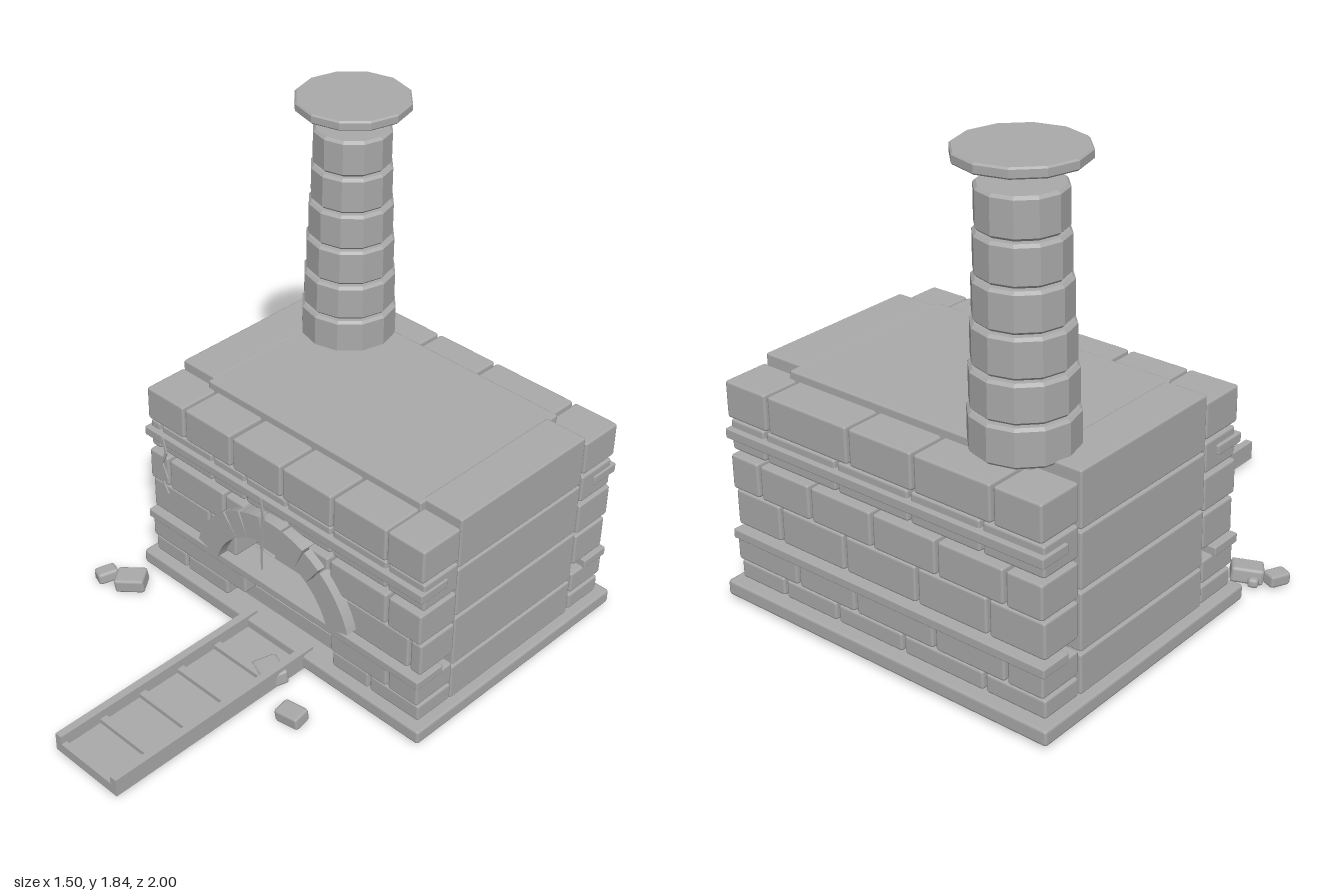
import * as THREE from 'three';
import { RoundedBoxGeometry } from 'three/addons/geometries/RoundedBoxGeometry.js';

export function createModel() {
  const model = new THREE.Group();
  model.name = 'brickOven';
  const stone = new THREE.MeshStandardMaterial({ color: 0xaaaaaa });
  stone.name = 'stone grey';

  const add = (name, geometry, parent = model) => {
    const mesh = new THREE.Mesh(geometry, stone);
    mesh.name = name;
    parent.add(mesh);
    return mesh;
  };
  const group = (name) => {
    const g = new THREE.Group();
    g.name = name;
    model.add(g);
    return g;
  };
  // Box given by its limits, with chamfered edges when bevel > 0
  const block = (name, [x0, x1], [y0, y1], [z0, z1], bevel = 0.01, parent = model) => {
    const s = [x1 - x0, y1 - y0, z1 - z0];
    const geo = bevel ? new RoundedBoxGeometry(...s, 1, bevel) : new THREE.BoxGeometry(...s);
    const mesh = add(name, geo, parent);
    mesh.position.set((x0 + x1) / 2, (y0 + y1) / 2, (z0 + z1) / 2);
    return mesh;
  };

  // Base slab, solid core and hearth floor
  block('baseSlab', [-0.685, 0.75], [0.02, 0.08], [-0.995, 0.1], 0.012);
  block('core', [-0.49, 0.555], [0.06, 0.883], [-0.82, -0.085], 0.008);
  block('hearth', [-0.225, 0.28], [0.07, 0.145], [-0.2, 0.0], 0);

  // Large side panels in four courses
  const sides = group('sidePanels');
  for (const [name, x] of [['rightPanel', [-0.65, -0.48]], ['leftPanel', [0.54, 0.715]]]) {
    for (const y of [[0.08, 0.23], [0.24, 0.455], [0.465, 0.672], [0.68, 0.885]]) {
      block(name, x, y, [-0.775, -0.11], 0.008, sides);
    }
  }

  // Brick courses, bottom to top: [y range, front bricks, back joints]
  const L = -0.65, R = 0.715;
  const courses = [
    [[0.085, 0.155], [[L, -0.48], [-0.47, -0.25], [0.3, 0.475], [0.485, R]], [L, -0.4, -0.05, 0.25, 0.5, R]],
    [[0.165, 0.255], [[L, -0.14], [0.3, 0.57], [0.58, R]], [L, -0.5, -0.2, 0.15, 0.42, R]],
    [[0.3, 0.435], [[L, -0.345], [-0.335, -0.2], [0.28, 0.655], [0.665, R]], [L, -0.42, -0.12, 0.2, 0.5, R]],
    [[0.445, 0.575], [[L, -0.55], [-0.54, -0.25], [-0.24, -0.14], [0.18, 0.28], [0.29, 0.555], [0.565, R]],
      [L, -0.5, -0.22, 0.06, 0.34, 0.58, R]],
    [[0.59, 0.705], [[L, -0.6], [-0.59, -0.32], [-0.31, -0.15], [-0.14, 0.06], [0.07, 0.28], [0.29, 0.54], [0.55, R]],
      [L, -0.4, -0.1, 0.22, 0.55, R]],
    [[0.715, 0.852], [[L, -0.455], [-0.445, -0.21], [-0.195, 0.045], [0.055, 0.29], [0.3, 0.545], [0.55, R]],
      [L, -0.455, -0.13, 0.15, 0.52, R]],
  ];
  const front = group('frontBricks'), back = group('backBricks');
  courses.forEach(([y, bricks, joints], i) => {
    const inset = i % 2 ? 0 : 0.012;
    for (const x of bricks) block('frontBrick', x, y, [-0.11, 0.075 - inset], 0.01, front);
    for (let j = 0; j < joints.length - 1; j++) {
      const x = [joints[j] + (j ? 0.006 : 0), joints[j + 1] - (j < joints.length - 2 ? 0.006 : 0)];
      block('backBrick', x, y, [-0.965 + inset, -0.785], 0.01, back);
    }
  });

  // Thin ledges running across front and back
  for (const y of [[0.25, 0.285], [0.638, 0.675]]) {
    block('frontLedge', [-0.662, 0.722], y, [-0.05, 0.084], 0.005);
    block('backLedge', [-0.662, 0.722], y, [-0.974, -0.85], 0.005);
  }

  // Arch of wedge stones around the opening
  const arch = group('arch');
  const angles = [17, 53, 66, 82, 98, 114, 127, 163];
  for (let i = 0; i < angles.length - 1; i++) {
    const a = THREE.MathUtils.degToRad(angles[i]);
    const b = THREE.MathUtils.degToRad(angles[i + 1]);
    const gap = 0.012;
    const s = new THREE.Shape();
    s.absarc(0, 0, 0.4, a + (i ? gap : 0), b - (i < 6 ? gap : 0), false);
    s.absarc(0, 0, 0.295, b, a, true);
    const geo = new THREE.ExtrudeGeometry(s, { depth: 0.09, bevelEnabled: false, curveSegments: i % 6 ? 2 : 5 });
    add('archStone', geo, arch).position.set(0.03, 0.21, 0.018);
  }

  // Thin crack slivers in front of the wall
  const crack = (points) => {
    const w = (i) => (i === 0 || i === points.length - 1 ? 0.002 : 0.006);
    const outline = [
      ...points.map(([x, y], i) => new THREE.Vector2(x - w(i), y)),
      ...points.map(([x, y], i) => new THREE.Vector2(x + w(i), y)).reverse(),
    ];
    const geo = new THREE.ExtrudeGeometry(new THREE.Shape(outline), { depth: 0.006, bevelEnabled: false });
    add('crack', geo).position.z = 0.172;
  };
  crack([[-0.455, 0.77], [-0.44, 0.71], [-0.465, 0.655], [-0.44, 0.6], [-0.465, 0.575], [-0.435, 0.53]]);
  crack([[0.052, 0.77], [0.062, 0.7], [0.055, 0.6], [0.055, 0.455]]);

  // Chimney of stacked twelve-sided rings with chamfered rims
  const chimney = group('chimney');
  chimney.position.set(-0.384, 0, -0.72);
  const ring = (name, r, y0, y1, c) => {
    const profile = [[0, y0], [r - c, y0], [r, y0 + c], [r, y1 - c], [r - c, y1], [0, y1]];
    const geo = new THREE.LatheGeometry(profile.map(([x, y]) => new THREE.Vector2(x, y)), 12).toNonIndexed();
    geo.computeVertexNormals();
    add(name, geo, chimney);
  };
  [0.182, 0.175, 0.167, 0.16, 0.153, 0.147].forEach((r, i) => {
    ring('chimneyRing', r, 0.87 + i * 0.1445, 1.008 + i * 0.1445, 0.01);
  });
  ring('capNeck', 0.14, 1.785, 1.81, 0.003);
  ring('chimneyCap', 0.215, 1.805, 1.842, 0.006);

  // Shallow ramp with side rails and rungs
  const ramp = group('ramp');
  block('rampFloor', [-0.13, 0.19], [0.018, 0.042], [0.05, 1], 0, ramp);
  block('rampRail', [-0.13, -0.1], [0.018, 0.093], [0.05, 1], 0, ramp);
  block('rampRail', [0.16, 0.19], [0.018, 0.093], [0.05, 1], 0, ramp);
  for (let i = 0; i < 5; i++) {
    const z = 0.26 + i * 0.183;
    block('rampRung', [-0.1, 0.16], [0.04, 0.06], [z - 0.015, Math.min(z + 0.015, 1)], 0, ramp);
  }

  // Loose stones on the ground: x, z, width, height, depth, turn
  const stones = [
    [-0.715, 0.27, 0.06, 0.05, 0.085, -0.35], [-0.615, 0.23, 0.12, 0.06, 0.09, 0.6],
    [-0.66, 0.205, 0.04, 0.035, 0.05, 0.4], [0.135, 0.215, 0.12, 0.06, 0.1, -0.35],
    [0.345, 0.315, 0.105, 0.055, 0.075, 0.1],
  ];
  for (const [x, z, w, h, d, turn] of stones) {
    const m = add('looseStone', new RoundedBoxGeometry(w, h, d, 1, 0.012));
    m.position.set(x, 0.012 + h / 2, z);
    m.rotation.set(0.08, turn, 0.08);
  }
  return model;
}
